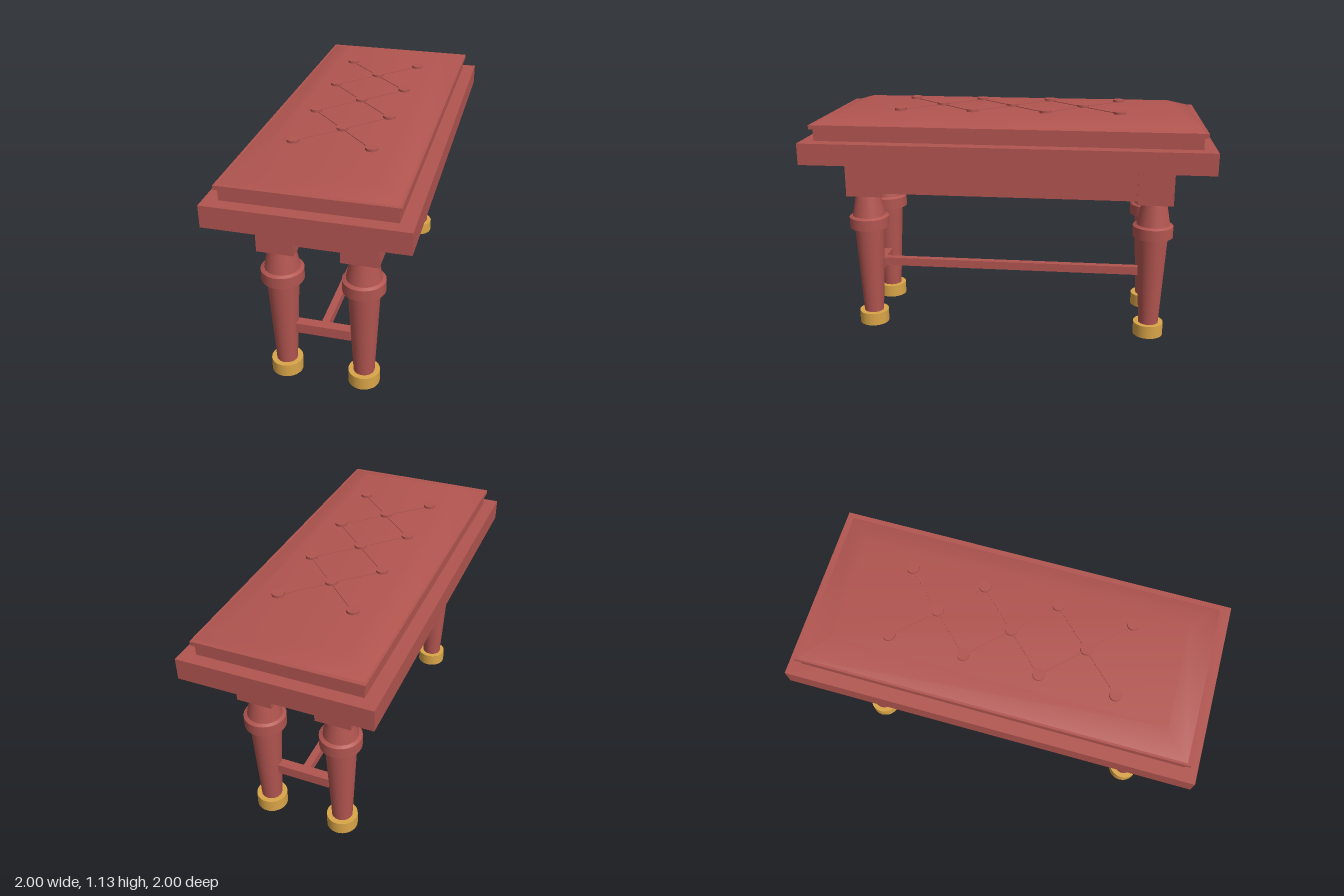
import * as THREE from 'three';

export function createModel() {
  const root = new THREE.Group();
  root.name = 'bench';
  const red = new THREE.MeshStandardMaterial({ color: 0xb25550 });
  red.name = 'red';
  const gold = new THREE.MeshStandardMaterial({ color: 0xdaa548 });
  gold.name = 'gold';

  // The bench lies diagonally, long side along the body's x axis
  const body = new THREE.Group();
  body.name = 'benchBody';
  body.rotation.y = Math.PI / 4;
  root.add(body);

  const add = (parent, name, geometry, x, y, z, material = red) => {
    const mesh = new THREE.Mesh(geometry, material);
    mesh.name = name;
    mesh.position.set(x, y, z);
    parent.add(mesh);
    return mesh;
  };
  // Box from half extents in x and z, and a y range
  const slab = (name, hx, y0, y1, hz, x = 0, z = 0) =>
    add(body, name, new THREE.BoxGeometry(hx * 2, y1 - y0, hz * 2), x, (y0 + y1) / 2, z);
  // Round part between two heights
  const turned = (parent, name, r0, r1, y0, y1, material) =>
    add(parent, name, new THREE.CylinderGeometry(r1, r0, y1 - y0, 32), 0, (y0 + y1) / 2, 0, material);

  // Seat board, cushion and piping
  slab('seatBoard', 0.969, 0.9, 1.003, 0.445);
  slab('cushion', 0.908, 1.003, 1.06, 0.38);
  slab('cushionPiping', 0.926, 1.06, 1.08, 0.391);

  // Cushion top: low frustum with soft shading
  const corners = (hx, y, hz) => [-hx, y, hz, hx, y, hz, hx, y, -hz, -hx, y, -hz];
  const top = new THREE.BufferGeometry();
  top.setAttribute('position', new THREE.Float32BufferAttribute(
    [...corners(0.908, 1.08, 0.38), ...corners(0.785, 1.123, 0.257)], 3));
  const index = [4, 5, 6, 4, 6, 7];
  for (let i = 0; i < 4; i++) {
    const j = (i + 1) % 4;
    index.push(i, j, j + 4, i, j + 4, i + 4);
  }
  top.setIndex(index);
  top.computeVertexNormals();
  add(body, 'cushionTop', top, 0, 0, 0);

  // Tufting: buttons joined by crossing cords
  const tufting = new THREE.Group();
  tufting.name = 'tufting';
  root.add(tufting);
  const buttonGeometry = new THREE.CylinderGeometry(0.029, 0.029, 0.02, 24);
  const step = 0.25;
  const spots = [[-2, 1], [-1, 1], [0, 1], [-1, 2], [-1, 0], [0, 0], [1, 0], [0, -1], [1, -1], [2, -1], [1, -2]];
  for (const [i, k] of spots) add(tufting, 'button', buttonGeometry, i * step, 1.125, k * step);
  for (const i of [-1, 0, 1]) {
    add(tufting, 'cord', new THREE.BoxGeometry(0.5, 0.006, 0.008), i * step, 1.123, -i * step);
    add(tufting, 'cord', new THREE.BoxGeometry(0.008, 0.006, 0.5), i * step, 1.123, -i * step);
  }

  for (const s of [-1, 1]) {
    // Apron panels, set back a little from the corner blocks
    slab('longApron', 0.63, 0.72, 0.9, 0.015, 0, s * 0.253);
    slab('endApron', 0.015, 0.75, 0.9, 0.106, s * 0.777, 0);
    // End stretcher between each pair of legs
    slab('endStretcher', 0.024, 0.237, 0.288, 0.132, s * 0.714, 0);

    // Corner blocks and turned legs
    for (const t of [-1, 1]) {
      slab('cornerBlock', 0.086, 0.703, 0.9, 0.086, s * 0.714, t * 0.19);
      const leg = new THREE.Group();
      leg.name = 'leg';
      leg.position.set(s * 0.714, 0, t * 0.19);
      body.add(leg);
      turned(leg, 'foot', 0.075, 0.075, 0, 0.065, gold);
      turned(leg, 'legShaft', 0.05, 0.075, 0.065, 0.525);
      turned(leg, 'legCollar', 0.099, 0.099, 0.525, 0.58);
      turned(leg, 'collarBevel', 0.097, 0.084, 0.58, 0.588);
      turned(leg, 'legNeck', 0.082, 0.06, 0.588, 0.705);
    }
  }
  slab('longStretcher', 0.692, 0.245, 0.288, 0.018);

  return root;
}
